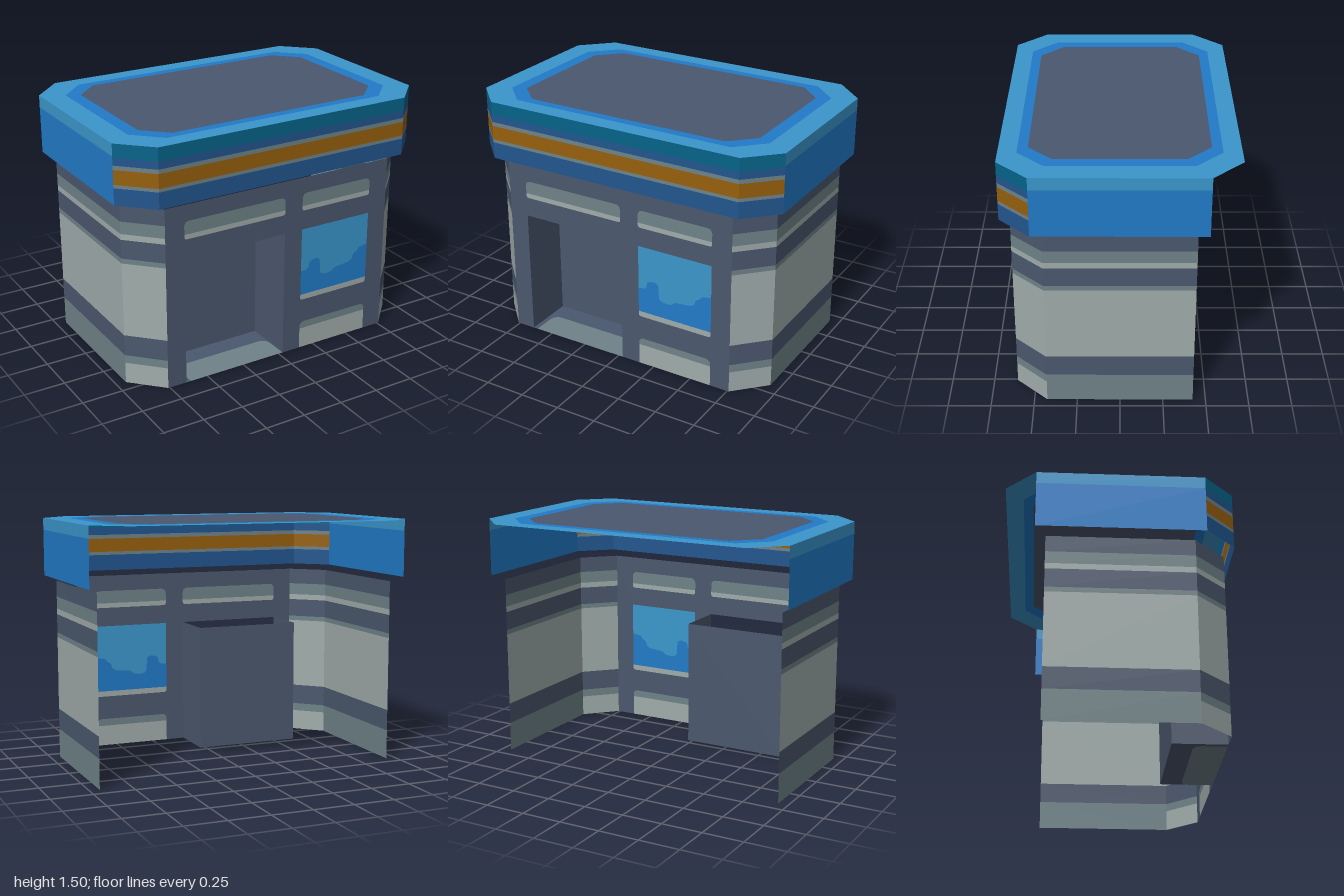
import * as THREE from 'three';

const material = (name, color) =>
  new THREE.MeshStandardMaterial({ name, color, side: THREE.DoubleSide });

const M = {
  slate: material('slate', 0x4b586e),
  pale: material('pale grey', 0xa0acab),
  grey: material('grey green', 0x6f8388),
  sky: material('light blue', 0x3b97cc),
  blue: material('blue', 0x217bc8),
  navy: material('navy', 0x22568f),
  teal: material('deep teal', 0x06648a),
  orange: material('orange', 0x96600c),
};

const pts = (list) => list.map(([x, y]) => new THREE.Vector2(x, y));

// Rectangle outline, counter-clockwise, with separate bottom and top corner radii
function rect(x0, x1, y0, y1, rb = 0, rt = 0) {
  const out = [];
  const corner = (cx, cy, r, start) => {
    const n = r ? 4 : 0;
    for (let i = 0; i <= n; i++) {
      const a = start + (n ? (i / n) * Math.PI / 2 : 0);
      out.push([cx + r * Math.cos(a), cy + r * Math.sin(a)]);
    }
  };
  corner(x0 + rb, y0 + rb, rb, Math.PI);
  corner(x1 - rb, y0 + rb, rb, Math.PI * 1.5);
  corner(x1 - rt, y1 - rt, rt, 0);
  corner(x0 + rt, y1 - rt, rt, Math.PI / 2);
  return out;
}

function flat(name, mat, outline, holes = []) {
  const shape = new THREE.Shape(pts(outline));
  holes.forEach((h) => shape.holes.push(new THREE.Path(pts(h))));
  const mesh = new THREE.Mesh(new THREE.ShapeGeometry(shape), mat);
  mesh.name = name;
  return mesh;
}

// Upright wall from a to b ([x, z], left to right seen from outside), split in bands [y0, y1, material]
function bandedWall(name, a, b, bands) {
  const group = new THREE.Group();
  group.name = name;
  const dx = b[0] - a[0], dz = b[1] - a[1];
  for (const [y0, y1, mat] of bands) {
    const mesh = new THREE.Mesh(new THREE.PlaneGeometry(Math.hypot(dx, dz), y1 - y0), mat);
    mesh.name = name + 'Band';
    mesh.position.set((a[0] + b[0]) / 2, (y0 + y1) / 2, (a[1] + b[1]) / 2);
    mesh.rotation.y = Math.atan2(-dz, dx);
    group.add(mesh);
  }
  return group;
}

// Octagon with cut corners: half sizes X, Z and the ends x, z of the straight edges
const octagon = (X, Z, x, z) => [
  [x, -Z], [X, -z], [X, z], [x, Z], [-x, Z], [-X, z], [-X, -z], [-x, -Z],
];

export function createModel() {
  const model = new THREE.Group();
  model.name = 'shop';

  // Side and corner walls
  const upper = [
    [0.18, 0.31, M.slate], [0.31, 0.765, M.pale], [0.765, 0.795, M.grey],
    [0.795, 0.91, M.slate], [0.91, 0.945, M.pale], [0.945, 1.02, M.grey],
    [1.02, 1.12, M.slate],
  ];
  const sideBands = [[0, 0.18, M.grey], ...upper];
  const cornerBands = [[0, 0.13, M.pale], [0.13, 0.18, M.grey], ...upper];
  model.add(
    bandedWall('rightWall', [-0.94, -0.425], [-0.94, 0.425], sideBands),
    bandedWall('rightCornerWall', [-0.94, 0.425], [-0.76, 0.61], cornerBands),
    bandedWall('leftCornerWall', [0.76, 0.61], [0.94, 0.425], cornerBands),
    bandedWall('leftWall', [0.94, 0.425], [0.94, -0.425], sideBands),
  );

  // Front wall, open at the doorway and the panels
  const front = new THREE.Group();
  front.name = 'front';
  front.position.z = 0.61;
  const [d0, d1, w0, w1, doorTop] = [-0.64, 0.03, 0.15, 0.635, 0.79];
  const base = rect(w0, w1, 0, 0.175, 0, 0.03);
  const notch = [base[0], ...base.slice(2).reverse(), base[1]];
  front.add(flat('frontWall', M.slate, [
    [-0.76, 0], [d0, 0], [d0, doorTop], [d1, doorTop], [d1, 0],
    notch[0], ...notch.slice(1, -1), notch[notch.length - 1],
    [0.76, 0], [0.76, 1.12], [-0.76, 1.12],
  ], [
    rect(d0, d1, 0.91, 1.02, 0.015, 0.03),
    rect(w0, w1, 0.91, 1.02, 0.015, 0.03),
    rect(w0, w1, 0.325, doorTop, 0.015),
  ]));

  // Panels above the door and the window
  for (const [x0, x1] of [[d0, d1], [w0, w1]]) {
    front.add(flat('upperPanel', M.grey, rect(x0, x1, 0.94, 1.02, 0, 0.03)));
    front.add(flat('upperPanelLedge', M.pale, rect(x0, x1, 0.91, 0.94, 0.015)));
  }

  // Window with a wavy reflection, its sill and the panel below
  const wave = [
    [w0, 0.515], [0.19, 0.52], [0.205, 0.535], [0.21, 0.565], [0.23, 0.575], [0.265, 0.58],
    [0.285, 0.565], [0.29, 0.48], [0.305, 0.465], [0.34, 0.46], [0.375, 0.465], [0.4, 0.485],
    [0.45, 0.49], [0.5, 0.495], [0.525, 0.51], [0.535, 0.54], [0.56, 0.555], [0.575, 0.575],
    [0.6, 0.58], [w1, 0.585],
  ];
  front.add(
    flat('windowUpper', M.sky, [...wave, [w1, doorTop], [w0, doorTop]]),
    flat('windowLower', M.blue, [[w0, 0.36], [w1, 0.36], ...[...wave].reverse()]),
    flat('windowSill', M.pale, rect(w0, w1, 0.325, 0.36, 0.015)),
    flat('basePanel', M.pale, rect(w0, w1, 0, 0.13)),
    flat('basePanelTop', M.grey, rect(w0, w1, 0.13, 0.175, 0, 0.03)),
  );
  model.add(front);

  // Recessed doorway, open at the top
  const back = 0.295, door = [[0, doorTop, M.slate]];
  model.add(
    bandedWall('doorwayRightSide', [d0, 0.61], [d0, back], door),
    bandedWall('door', [d0, back], [d1, back], door),
    bandedWall('doorwayLeftSide', [d1, back], [d1, 0.61], door),
  );
  const step = rect(d0 + 0.03, d1, -0.61, -0.42, 0, 0.05);
  const floor = flat('doorwayFloor', M.slate, rect(d0, d1, -0.61, -back), [step]);
  const mat = flat('doorwayStep', M.grey, step);
  for (const part of [floor, mat]) {
    part.rotation.x = -Math.PI / 2;
    model.add(part);
  }

  // Roof top in three flat zones
  const roof = new THREE.Group();
  roof.name = 'roof';
  roof.position.y = 1.505;
  roof.rotation.x = -Math.PI / 2;
  const rim = octagon(1, 0.665, 0.82, 0.485);
  const ring = octagon(0.865, 0.56, 0.71, 0.405);
  const deck = octagon(0.785, 0.502, 0.645, 0.365);
  roof.add(
    flat('roofRim', M.sky, rim, [ring]),
    flat('roofRing', M.blue, ring, [deck]),
    flat('roofDeck', M.slate, deck),
  );
  model.add(roof);

  // Fascia: striped at the front and corners, blue at the sides, open at the back
  const stripes = [
    [1.15, 1.25, M.navy], [1.25, 1.27, M.grey], [1.27, 1.355, M.orange],
    [1.355, 1.38, M.grey], [1.38, 1.425, M.navy], [1.425, 1.505, M.teal],
  ];
  const plain = [[1.15, 1.432, M.blue], [1.432, 1.505, M.sky]];
  model.add(
    bandedWall('rightFascia', [-1, -0.485], [-1, 0.485], plain),
    bandedWall('rightCornerFascia', [-1, 0.485], [-0.82, 0.665], stripes),
    bandedWall('frontFascia', [-0.82, 0.665], [0.82, 0.665], stripes),
    bandedWall('leftCornerFascia', [0.82, 0.665], [1, 0.485], stripes),
    bandedWall('leftFascia', [1, 0.485], [1, -0.485], plain),
  );
  return model;
}
